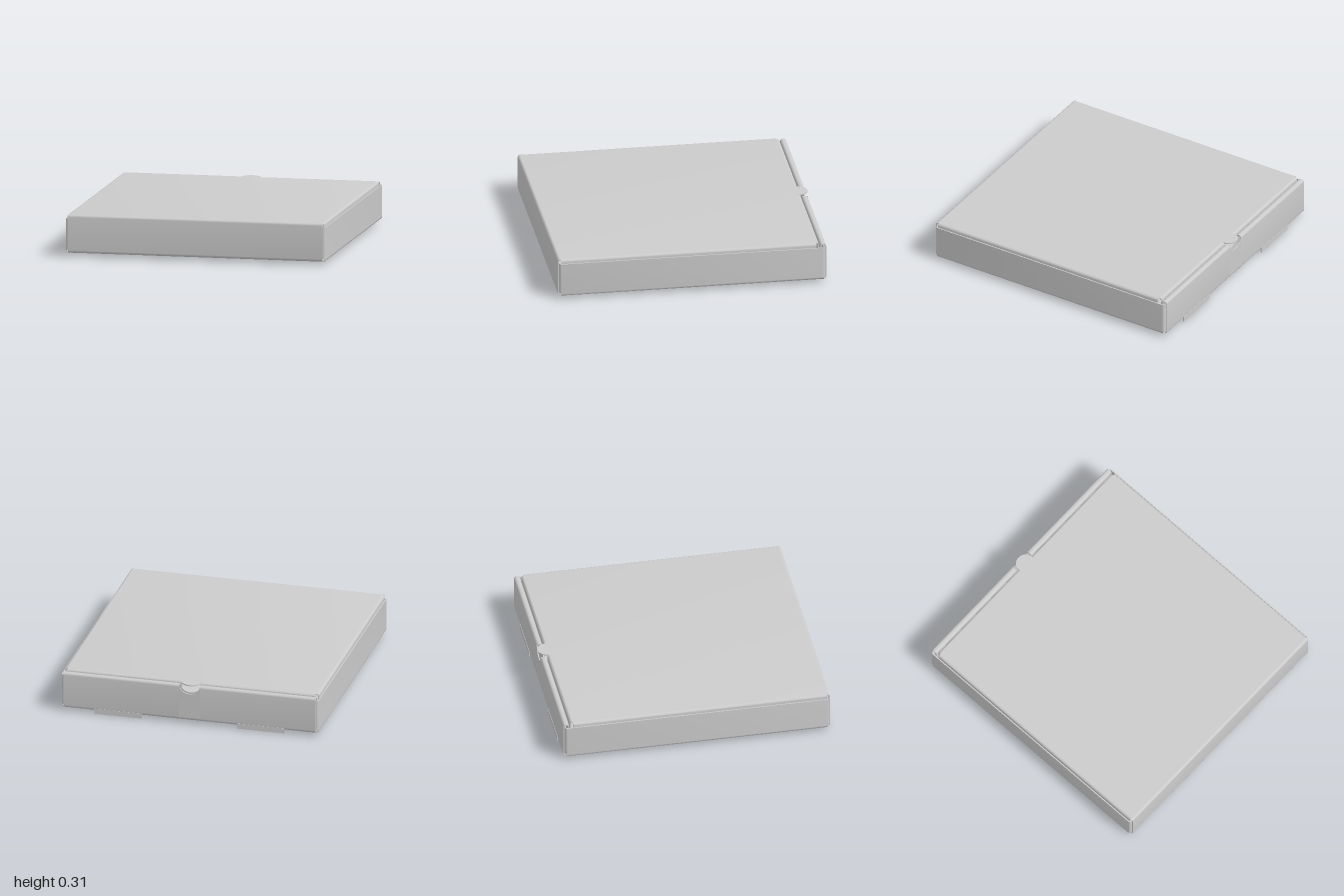
import * as THREE from 'three';
import { toCreasedNormals } from 'three/addons/utils/BufferGeometryUtils.js';

const T = 0.008; // board thickness
const R = 0.016; // fold radius
const BOTTOM = 0.029, LID = 0.306;
const material = new THREE.MeshStandardMaterial({ color: 0xcccccc, side: THREE.DoubleSide });

// Outline of a folded board: a polyline with rounded corners, thickened to both sides
function foldShape(path) {
  const p = path.map(([x, y]) => new THREE.Vector2(x, y));
  const left = [], right = [];
  const add = (pos, tangent) => {
    const t = tangent.clone().normalize();
    const n = new THREE.Vector2(-t.y, t.x).multiplyScalar(T / 2);
    left.push(pos.clone().add(n));
    right.unshift(pos.clone().sub(n));
  };
  add(p[0], p[1].clone().sub(p[0]));
  for (let i = 1; i < p.length - 1; i++) {
    const toward = (q) => q.clone().sub(p[i]).setLength(Math.min(R, q.distanceTo(p[i]) * 0.99)).add(p[i]);
    const a = toward(p[i - 1]), c = toward(p[i + 1]);
    const bend = new THREE.QuadraticBezierCurve(a, p[i], c);
    for (let k = 0; k <= 5; k++) {
      const s = k / 5;
      const tangent = p[i].clone().sub(a).multiplyScalar(1 - s).addScaledVector(c.clone().sub(p[i]), s);
      add(bend.getPoint(s), tangent);
    }
  }
  const n = p.length;
  add(p[n - 1], p[n - 1].clone().sub(p[n - 2]));
  return new THREE.Shape([...left, ...right]);
}

function extrude(shape, depth) {
  return new THREE.ExtrudeGeometry(shape, { depth, bevelEnabled: false, curveSegments: 20 });
}

export function createModel() {
  const box = new THREE.Group();
  box.name = 'foldedBox';

  const add = (name, geometry) => {
    const mesh = new THREE.Mesh(toCreasedNormals(geometry, 0.6), material);
    mesh.name = name;
    box.add(mesh);
  };
  // Profile in (x, y), running from z0 to z1
  const alongZ = (name, path, z0, z1) =>
    add(name, extrude(foldShape(path), z1 - z0).translate(0, 0, z0));
  // Profile in (z, y), running from x0 to x1
  const alongX = (name, path, x0, x1) =>
    add(name, extrude(foldShape(path.map(([z, y]) => [-z, y])), x1 - x0).rotateY(Math.PI / 2).translate(x0, 0, 0));
  // Profile in (x, z), running from y0 to y1
  const alongY = (name, path, y0, y1) =>
    add(name, extrude(foldShape(path), y1 - y0).rotateX(Math.PI / 2).translate(0, y1, 0));

  // Base panel with folded side edges, and the hinged front wall
  alongZ('basePanel', [[-0.971, 0.046], [-0.971, BOTTOM], [0.971, BOTTOM], [0.971, 0.046]], -0.97, 0.979);
  alongX('frontWall', [[0.978, BOTTOM], [0.996, BOTTOM], [0.996, LID], [0.978, LID]], -0.955, 0.955);

  // Lid panel with side flaps tucked inside the side walls
  alongZ('lidPanel', [[-0.958, 0.06], [-0.958, LID], [0.958, LID], [0.958, 0.06]], -0.917, 0.979);

  for (const s of [-1, 1]) {
    const side = s > 0 ? 'left' : 'right';
    // Orders a mirrored span from low to high
    const span = (a, b) => (s > 0 ? [a, b] : [-b, -a]);

    // Side wall with corner flaps behind the front and back walls
    alongY(side + 'SideWall',
      [[s * 0.8, 0.986], [s * 0.971, 0.986], [s * 0.971, -0.975], [s * 0.8, -0.975]], 0.045, 0.28);

    // Back wall rolled over into an inner wall, open at the thumb notch
    alongX(side + 'BackWall',
      [[-0.968, BOTTOM], [-0.986, BOTTOM], [-0.986, 0.298], [-0.95, 0.298], [-0.95, 0.036]], ...span(0.08, 0.955));

    // Rear lid flap tucked behind the inner wall
    alongX(side + 'LidRearFlap', [[-0.916, LID], [-0.934, LID], [-0.934, 0.12]], ...span(0.07, 0.94));

    // Locking tab below the back wall
    add(side + 'LockTab', new THREE.BoxGeometry(0.36, 0.04, T).translate(s * 0.54, 0.02, -0.988));
  }

  // Middle of the back wall: lower fold and two plates cut by the thumb notch
  alongX('backFold', [[-0.968, BOTTOM], [-0.986, BOTTOM], [-0.986, 0.05]], -0.08, 0.08);
  const notched = new THREE.Shape();
  notched.moveTo(-0.08, 0.05);
  notched.lineTo(0.08, 0.05);
  notched.lineTo(0.08, 0.298);
  notched.absellipse(0, 0.298, 0.078, 0.065, 0, Math.PI, true);
  notched.lineTo(-0.08, 0.298);
  for (const [name, z] of [['notchedBackWall', -0.986], ['notchedInnerWall', -0.95]])
    add(name, extrude(notched, T).translate(0, 0, z - T / 2));

  // Rounded lid tab reaching over the notch
  const tab = new THREE.Shape();
  tab.moveTo(-0.07, -0.917);
  tab.lineTo(-0.07, -0.93);
  tab.absarc(0, -0.93, 0.07, Math.PI, Math.PI * 2, false);
  tab.lineTo(0.07, -0.917);
  add('lidTab', extrude(tab, T).rotateX(Math.PI / 2).translate(0, LID + T / 2, 0));

  return box;
}
